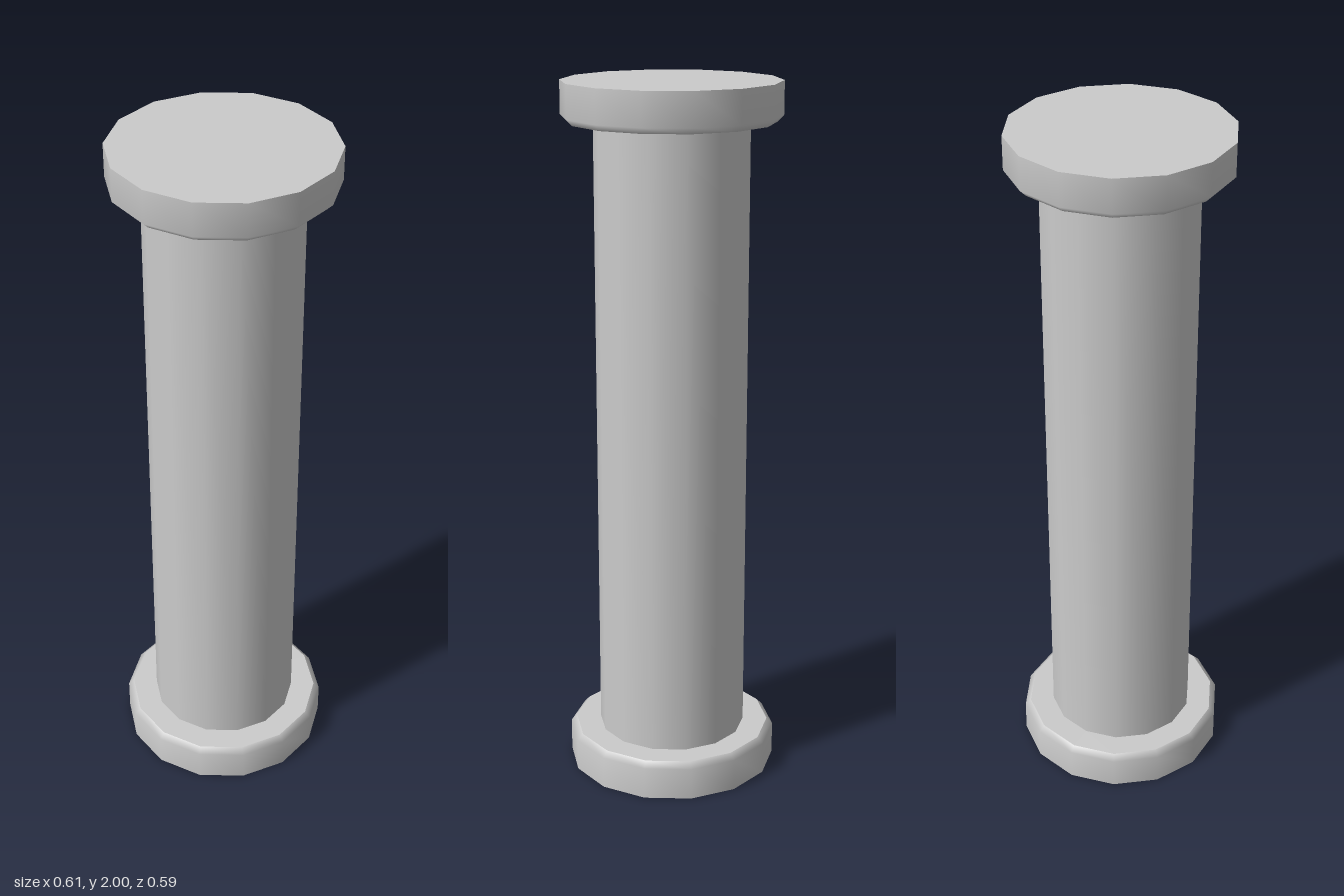
import * as THREE from 'three';
import { mergeGeometries } from 'three/addons/utils/BufferGeometryUtils.js';

const SIDES = 14;
const HEIGHT = 2;
const CAP_R = 0.303, CAP_H = 0.11, BEVEL = 0.017;
const SHAFT_R = 0.214;

// Each run of [radius, y] points is smooth; edges between runs stay sharp.
function turned(...runs) {
  return mergeGeometries(runs.map((run) => new THREE.LatheGeometry(
    run.map(([r, y]) => new THREE.Vector2(r, y)), SIDES, Math.PI / 2)));
}

export function createModel() {
  const group = new THREE.Group();
  group.name = 'column';
  const material = new THREE.MeshStandardMaterial({ color: 0xcccccc });

  function add(name, geometry) {
    const mesh = new THREE.Mesh(geometry, material);
    mesh.name = name;
    group.add(mesh);
    return mesh;
  }

  // End disc: flat base, wall bevelled on the shaft side, flat shoulder
  const disc = turned(
    [[0, 0], [CAP_R, 0]],
    [[CAP_R, 0], [CAP_R, CAP_H - BEVEL], [CAP_R - BEVEL, CAP_H]],
    [[CAP_R - BEVEL, CAP_H], [SHAFT_R, CAP_H]],
  );
  add('base', disc);

  // Capital is the base turned upside down
  const capital = add('capital', disc);
  capital.rotation.x = Math.PI;
  capital.position.y = HEIGHT;

  // Plain shaft between the two discs
  add('shaft', turned([[SHAFT_R, CAP_H], [SHAFT_R, HEIGHT - CAP_H]]));

  return group;
}
